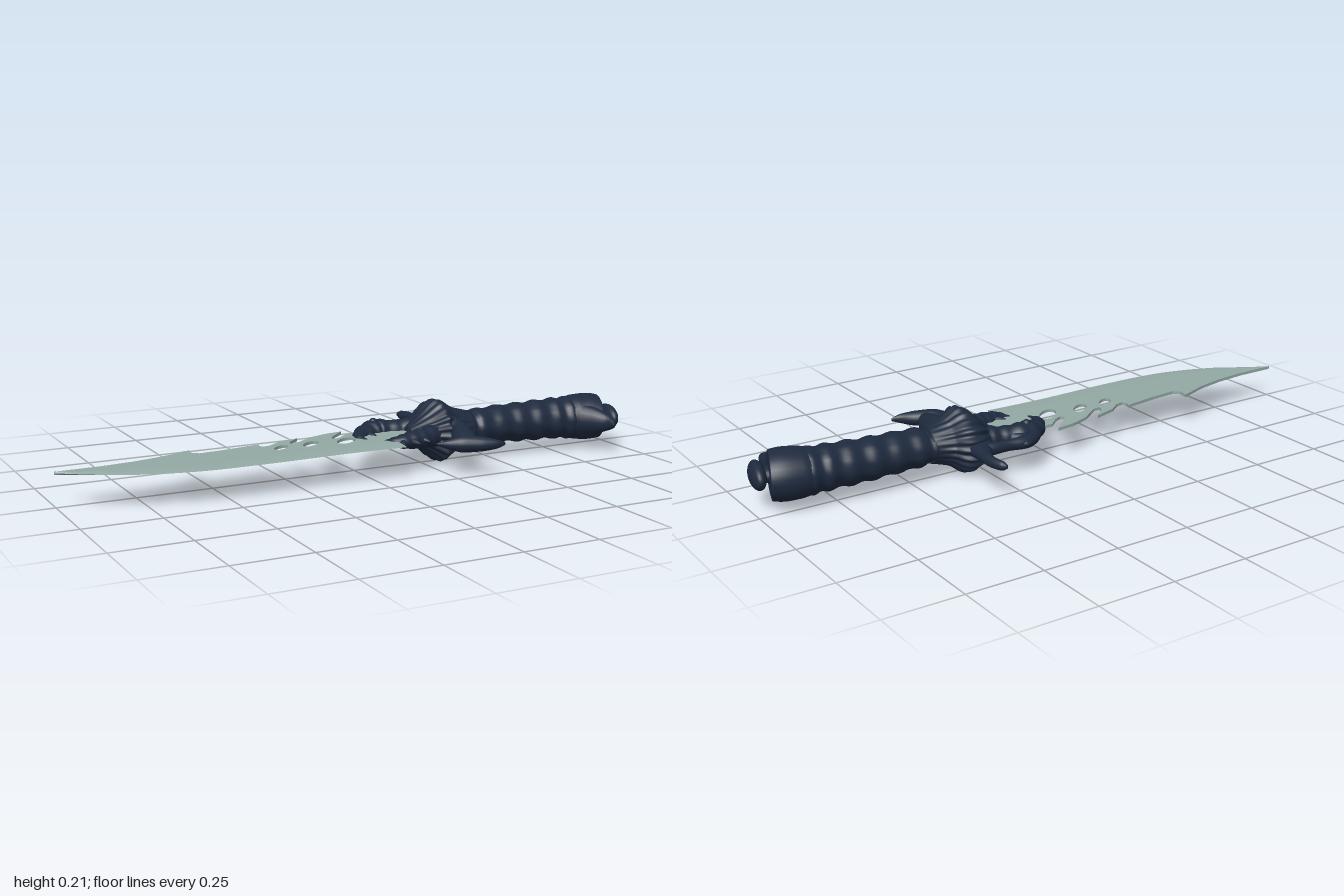
import * as THREE from 'three';

const MID = 0.11; // height of the blade plane
const dark = new THREE.MeshStandardMaterial({ color: 0x1e2a3e });
const steel = new THREE.MeshStandardMaterial({ color: 0x93a8a3, side: THREE.DoubleSide });

// Closed tapered body along a path. Rows: [x, z, half width in plane, half height].
function sweep(name, rows, { steps = 28, sides = 20, relief = () => 1 } = {}) {
  const path = new THREE.CatmullRomCurve3(rows.map(r => new THREE.Vector3(r[0], 0, r[1])), false, 'centripetal');
  const size = new THREE.CatmullRomCurve3(rows.map(r => new THREE.Vector3(r[2], r[3], 0)), false, 'centripetal');
  const pos = [], idx = [];
  for (let i = -1; i <= steps + 1; i++) {
    const t = Math.min(1, Math.max(0, i / steps));
    const c = path.getPoint(t), d = path.getTangent(t), s = size.getPoint(t);
    const open = i < 0 || i > steps ? 0 : 1;
    for (let j = 0; j < sides; j++) {
      const a = j / sides * Math.PI * 2, k = open * relief(t, a);
      const w = Math.cos(a) * s.x * k;
      pos.push(c.x - d.z * w, MID + Math.sin(a) * s.y * k, c.z + d.x * w);
    }
  }
  for (let i = 0; i < steps + 2; i++) for (let j = 0; j < sides; j++) {
    const a = i * sides + j, b = i * sides + (j + 1) % sides;
    idx.push(a, a + sides, b, b, a + sides, b + sides);
  }
  const g = new THREE.BufferGeometry();
  g.setAttribute('position', new THREE.Float32BufferAttribute(pos, 3));
  g.setIndex(idx);
  g.computeVertexNormals();
  const m = new THREE.Mesh(g, dark);
  m.name = name;
  return m;
}

function makeBlade() {
  const blade = new THREE.Group();
  blade.name = 'blade';
  const half = 0.005;
  // Cutting edge and the line where its bevel begins
  const edge = new THREE.SplineCurve([[-1, -0.005], [-0.9, 0.065], [-0.8, 0.12], [-0.62, 0.17], [-0.4, 0.18], [-0.1, 0.172], [0.1, 0.178]]
    .map(p => new THREE.Vector2(...p))).getPoints(40);
  const inner = edge.map(p => new THREE.Vector2(p.x, p.y - 0.38 * (p.y + 0.005)));

  // Flat body with hooked teeth along the spine
  const spine = [[-1, -0.005], [-0.86, -0.006], [-0.75, -0.018], [-0.65, -0.04], [-0.545, -0.08], [-0.55, -0.045], [-0.53, -0.027],
    [-0.44, -0.035], [-0.315, -0.055], [-0.325, -0.035], [-0.315, -0.02], [-0.29, -0.025], [-0.25, -0.055], [-0.17, -0.08],
    [-0.215, -0.04], [-0.222, -0.018], [-0.2, -0.018], [-0.17, -0.04], [-0.13, -0.07], [-0.06, -0.096], [0.005, -0.105],
    [-0.05, -0.055], [-0.07, -0.03], [-0.06, -0.018], [-0.035, -0.03], [0, -0.062], [0.1, -0.06],
    [0.22, -0.03], [0.24, 0.02], [0.21, 0.055], [0.15, 0.07], [0.08, 0.09]];
  const outline = [...spine.map(p => new THREE.Vector2(...p)), ...inner.slice(1).reverse()];
  const shape = new THREE.Shape(outline.map(p => new THREE.Vector2(p.x, -p.y)));
  for (const [x, z, a, b] of [[-0.27, 0.017, 0.036, 0.018], [-0.163, 0.012, 0.042, 0.02], [-0.04, 0.023, 0.05, 0.026]]) {
    const hole = new THREE.Path();
    hole.absellipse(x, -z, a, b, 0, Math.PI * 2, true, 0.72);
    shape.holes.push(hole);
  }
  const g = new THREE.ExtrudeGeometry(shape, { depth: half * 2, bevelEnabled: false, curveSegments: 16 });
  g.rotateX(-Math.PI / 2).translate(0, MID - half, 0);
  const body = new THREE.Mesh(g, steel);
  body.name = 'bladeBody';

  // Sharpened wedge
  const pos = [], idx = [];
  for (const side of [1, -1]) {
    const base = pos.length / 3;
    edge.forEach((p, i) => {
      const q = inner[i], m = p.clone().lerp(q, 0.45);
      pos.push(q.x, MID + side * half, q.y, m.x, MID + side * half * 0.75, m.y, p.x, MID, p.y);
      if (!i) return;
      for (let k = 0; k < 2; k++) {
        const a = base + (i - 1) * 3 + k, b = a + 1, c = a + 3, d = a + 4;
        idx.push(...(side > 0 ? [a, b, c, b, d, c] : [a, c, b, b, c, d]));
      }
    });
  }
  const wg = new THREE.BufferGeometry();
  wg.setAttribute('position', new THREE.Float32BufferAttribute(pos, 3));
  wg.setIndex(idx);
  wg.computeVertexNormals();
  const wedge = new THREE.Mesh(wg, steel);
  wedge.name = 'cuttingEdge';
  blade.add(body, wedge);
  return blade;
}

function makeGuard() {
  const guard = new THREE.Group();
  guard.name = 'guard';
  // Ribbed shell around the root of the blade
  guard.add(sweep('ribbedShell', [[0.2, 0, 0.03, 0.02], [0.25, 0, 0.085, 0.06], [0.31, 0, 0.125, 0.1], [0.365, 0.008, 0.09, 0.073], [0.43, 0.012, 0.066, 0.058]],
    { steps: 40, sides: 120, relief: (t, a) => 1 + 0.055 * Math.sin(Math.PI * t) * Math.cos(20 * a) }));
  // Beaked head over the blade, with crest and brow
  guard.add(sweep('beakedHead', [[0.025, 0.045, 0.004, 0.006], [0.02, 0, 0.018, 0.016], [0.06, -0.05, 0.034, 0.028], [0.12, -0.075, 0.045, 0.04],
    [0.19, -0.06, 0.036, 0.034], [0.25, -0.045, 0.045, 0.045], [0.31, -0.03, 0.05, 0.06]],
    { steps: 60, relief: t => 1 + 0.05 * Math.sin(t * 60) }));
  guard.add(sweep('crest', [[0.04, -0.045, 0.008, 0.01], [0.09, -0.1, 0.018, 0.02], [0.15, -0.135, 0.025, 0.022], [0.22, -0.135, 0.014, 0.018], [0.29, -0.125, 0.02, 0.022], [0.33, -0.08, 0.03, 0.03]]));
  guard.add(sweep('crestSpike', [[0.19, -0.125, 0.016, 0.014], [0.16, -0.155, 0.01, 0.01], [0.125, -0.15, 0.001, 0.001]]));
  guard.add(sweep('crestStrut', [[0.14, -0.12, 0.025, 0.02], [0.17, -0.09, 0.018, 0.02], [0.2, -0.06, 0.015, 0.018]]));
  for (const y of [1, -1]) {
    const eye = new THREE.Mesh(new THREE.SphereGeometry(0.014, 14, 10), dark);
    eye.position.set(0.11, MID + y * 0.033, -0.075);
    eye.name = 'eye';
    guard.add(eye);
  }
  // Lower jaw with fangs
  guard.add(sweep('lowerJaw', [[0.07, 0.075, 0.002, 0.004], [0.11, 0.1, 0.026, 0.02], [0.17, 0.095, 0.036, 0.03], [0.24, 0.075, 0.035, 0.036], [0.31, 0.045, 0.05, 0.06]],
    { steps: 40, relief: t => 1 + 0.05 * Math.sin(t * 45) }));
  for (const [x, z, dx, dz] of [[0.12, 0.11, -0.01, 0.04], [0.155, 0.115, 0.005, 0.045], [0.195, 0.105, 0.01, 0.04], [0.13, 0.085, -0.035, -0.035], [0.07, -0.035, 0.01, 0.055]])
    guard.add(sweep('fang', [[x, z, 0.017, 0.016], [x + dx * 0.6, z + dz * 0.5, 0.011, 0.01], [x + dx, z + dz, 0.001, 0.001]], { steps: 8, sides: 10 }));
  // Rear horn
  guard.add(sweep('upperHorn', [[0.29, -0.05, 0.06, 0.045], [0.31, -0.12, 0.038, 0.026], [0.328, -0.18, 0.021, 0.018], [0.334, -0.23, 0.016, 0.017], [0.325, -0.27, 0.013, 0.015], [0.318, -0.285, 0.004, 0.006]]));
  // Crescent hook and its stem
  guard.add(sweep('hookStem', [[0.32, 0.04, 0.055, 0.07], [0.335, 0.11, 0.034, 0.05], [0.322, 0.17, 0.04, 0.036], [0.315, 0.215, 0.025, 0.025]]));
  guard.add(sweep('crescentHook', [[0.205, 0.185, 0.002, 0.003], [0.24, 0.205, 0.016, 0.016], [0.285, 0.222, 0.03, 0.028], [0.34, 0.25, 0.026, 0.024], [0.38, 0.272, 0.012, 0.015], [0.408, 0.277, 0.002, 0.005]]));
  return guard;
}

function makeHandle() {
  const handle = new THREE.Group();
  handle.name = 'handle';
  // Grip with slanted finger rings
  handle.add(sweep('grip', [[0.37, 0.01, 0.07, 0.06], [0.45, 0.012, 0.07, 0.06], [0.6, 0.012, 0.071, 0.065], [0.75, 0.02, 0.075, 0.069], [0.86, 0.03, 0.082, 0.073]],
    { steps: 120, sides: 36, relief: (t, a) => 1 + 0.045 * Math.sin(t * 50 + 0.9 * Math.cos(a)) + 0.012 * Math.cos(9 * a + t * 20) }));
  // Flared pommel, hollowed at the end
  handle.add(sweep('pommel', [[0.79, 0.025, 0.07, 0.06], [0.85, 0.032, 0.088, 0.078], [0.9, 0.044, 0.092, 0.081], [0.935, 0.058, 0.09, 0.075], [0.938, 0.059, 0.075, 0.062], [0.925, 0.054, 0.05, 0.042]].slice(0, 5),
    { steps: 36, sides: 32 }));
  handle.add(sweep('pommelSpur', [[0.85, 0.07, 0.05, 0.06], [0.88, 0.13, 0.034, 0.045], [0.897, 0.175, 0.02, 0.027], [0.895, 0.205, 0.01, 0.014], [0.886, 0.22, 0.001, 0.002]]));
  handle.add(sweep('capNeck', [[0.92, 0.06, 0.035, 0.025], [0.965, 0.078, 0.035, 0.025]], { steps: 4 }));
  const cap = new THREE.Mesh(new THREE.SphereGeometry(1, 32, 20), dark);
  cap.scale.set(0.026, 0.042, 0.073);
  cap.position.set(0.967, MID, 0.078);
  cap.rotation.y = -0.22;
  cap.name = 'endCap';
  handle.add(cap);
  return handle;
}

export function createModel() {
  const model = new THREE.Group();
  model.name = 'dagger';
  model.add(makeBlade(), makeGuard(), makeHandle());
  return model;
}
